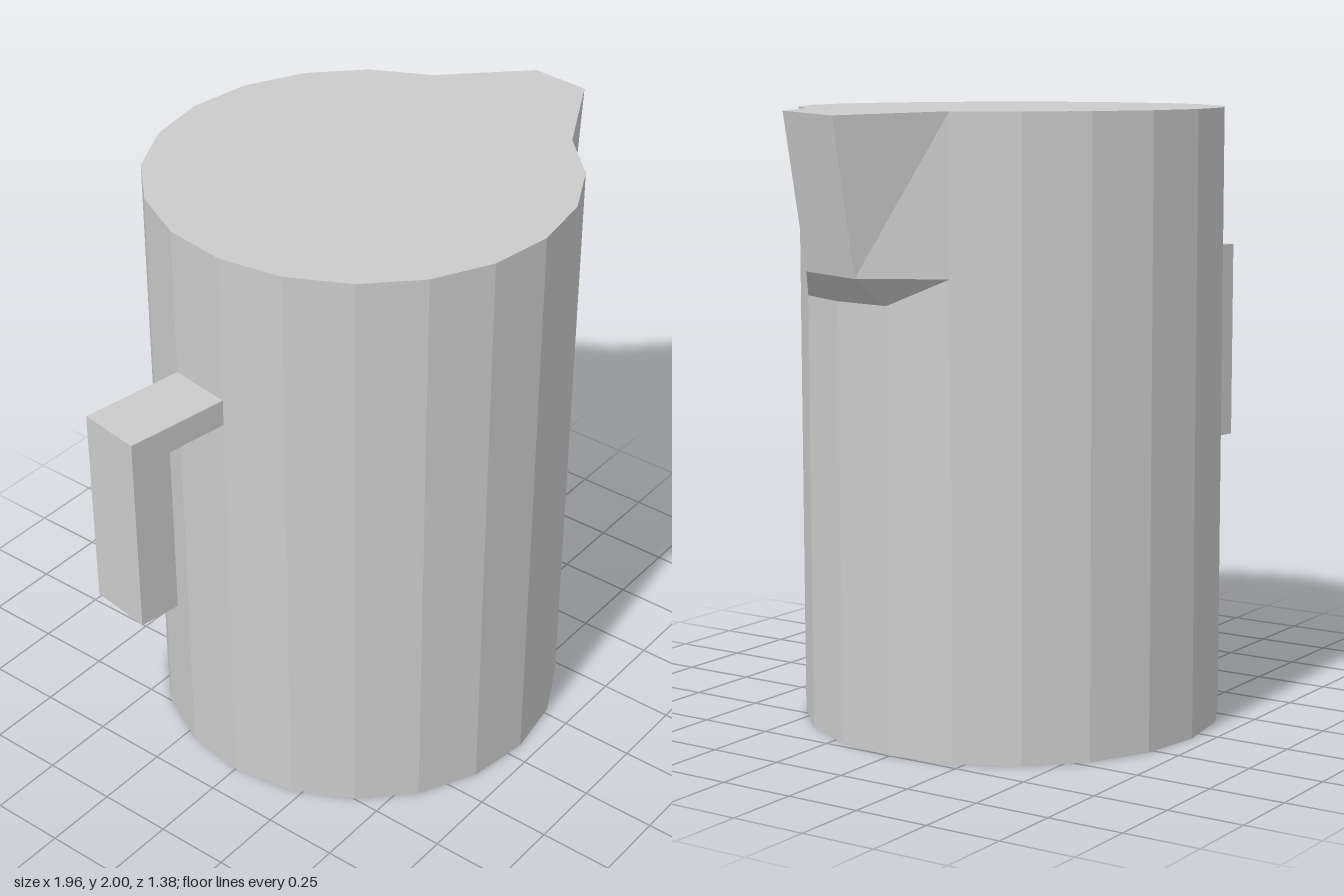
import * as THREE from 'three';

const SIDES = 20, RADIUS = 0.69, CENTRE_X = 0.06;
const LEVELS = [0, 1.41, 1.5, 2];

// Spout: two neighbouring columns are pulled outwards at the upper two levels
const SPOUT = {
  '0,2': [0.867, 1.5, 0.03], '0,3': [0.975, 1.99, 0.025],
  '1,2': [0.835, 1.51, 0.24], '1,3': [0.942, 2, 0.237],
};

function wallPoint(column, level) {
  const k = column % SIDES;
  const pulled = SPOUT[`${k},${level}`];
  if (pulled) return pulled;
  const a = (k / SIDES) * Math.PI * 2;
  return [CENTRE_X + RADIUS * Math.cos(a), LEVELS[level], RADIUS * Math.sin(a)];
}

// Closed faceted jug body with its spout
function bodyGeometry() {
  const positions = [];
  const triangle = (a, b, c) => positions.push(...a, ...b, ...c);
  const top = LEVELS.length - 1;
  for (let k = 0; k < SIDES; k++) {
    for (let j = 0; j < top; j++) {
      const a0 = wallPoint(k, j), a1 = wallPoint(k, j + 1);
      const b0 = wallPoint(k + 1, j), b1 = wallPoint(k + 1, j + 1);
      triangle(b0, a0, a1);
      triangle(b0, a1, b1);
    }
    triangle([CENTRE_X, 2, 0], wallPoint(k + 1, top), wallPoint(k, top));
    triangle([CENTRE_X, 0, 0], wallPoint(k, 0), wallPoint(k + 1, 0));
  }
  const geometry = new THREE.BufferGeometry();
  geometry.setAttribute('position', new THREE.Float32BufferAttribute(positions, 3));
  geometry.computeVertexNormals();
  return geometry;
}

// L-shaped handle, open at the bottom, as wide as one side of the body
function handleGeometry() {
  const width = 2 * RADIUS * Math.sin(Math.PI / SIDES);
  const profile = new THREE.Shape([
    [0, 1.41], [0, 1.5], [-0.355, 1.5], [-0.355, 0.82], [-0.212, 0.82], [-0.212, 1.41],
  ].map(([x, y]) => new THREE.Vector2(x, y)));
  return new THREE.ExtrudeGeometry(profile, { depth: width, bevelEnabled: false })
    .translate(0, 0, -width / 2);
}

export function createModel() {
  const model = new THREE.Group();
  model.name = 'jug';
  const material = new THREE.MeshStandardMaterial({ color: 0xcccccc, flatShading: true });

  const body = new THREE.Mesh(bodyGeometry(), material);
  body.name = 'bodyWithSpout';
  model.add(body);

  // Handle stands square on the side just behind the -x corner
  const handle = new THREE.Mesh(handleGeometry(), material);
  handle.name = 'handle';
  const half = Math.PI / SIDES;
  const apothem = RADIUS * Math.cos(half);
  handle.position.set(CENTRE_X - apothem * Math.cos(half), 0, -apothem * Math.sin(half));
  handle.rotation.y = -half;
  model.add(handle);

  return model;
}
